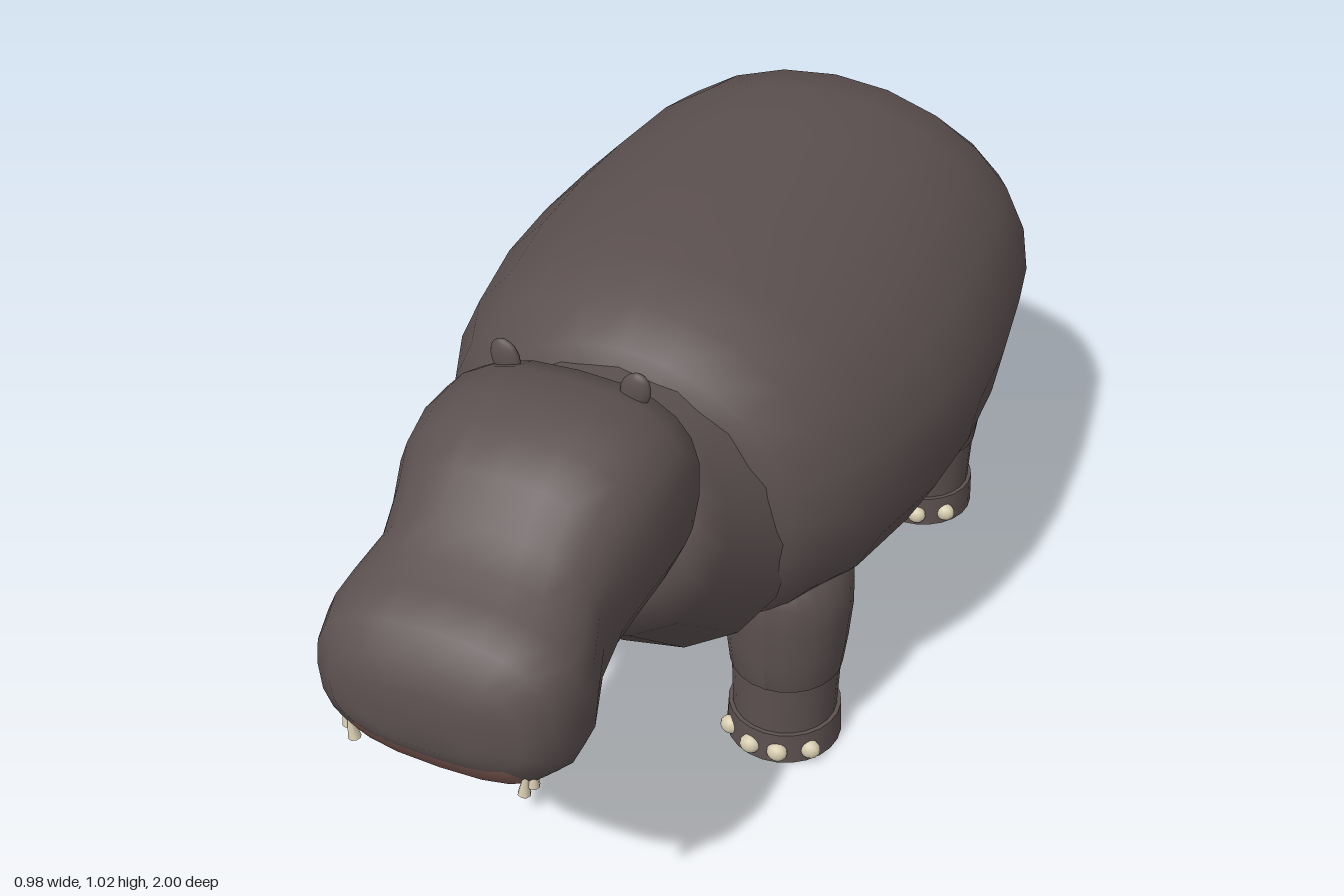
import * as THREE from 'three';

const paint = (name, color) => {
  const m = new THREE.MeshStandardMaterial({ color });
  m.name = name;
  return m;
};

// Closed loft, front to back. Each ring: [zTop, yTop, zBottom, yBottom, halfWidth].
// power < 1 makes the sections boxier; the lowest quarter uses the second material from ring bellyFrom to bellyTo.
function loft(rings, { sides = 24, power = 1, bellyFrom = Infinity, bellyTo = Infinity } = {}) {
  const pos = [], hide = [], belly = [];
  const bend = v => Math.sign(v) * Math.abs(v) ** power;
  for (const [zt, yt, zb, yb, w] of rings) {
    for (let i = 0; i < sides; i++) {
      const a = i / sides * Math.PI * 2, s = bend(Math.sin(a));
      pos.push(bend(Math.cos(a)) * w, (yt + yb) / 2 + s * (yt - yb) / 2, (zt + zb) / 2 + s * (zt - zb) / 2);
    }
  }
  for (let j = 0; j < rings.length - 1; j++) {
    for (let i = 0; i < sides; i++) {
      const n = (i + 1) % sides;
      const a = j * sides + i, b = j * sides + n, c = b + sides, d = a + sides;
      const under = Math.sin((i + 0.5) / sides * Math.PI * 2) < -0.7;
      (under && j >= bellyFrom && j < bellyTo ? belly : hide).push(a, d, b, b, d, c);
    }
  }
  // end caps
  const last = (rings.length - 1) * sides, centre = rings.length * sides;
  for (const [zt, yt, zb, yb] of [rings[0], rings[rings.length - 1]]) pos.push(0, (yt + yb) / 2, (zt + zb) / 2);
  for (let i = 0; i < sides; i++) {
    const n = (i + 1) % sides;
    hide.push(centre, i, n, centre + 1, last + n, last + i);
  }
  const g = new THREE.BufferGeometry();
  g.setAttribute('position', new THREE.Float32BufferAttribute(pos, 3));
  g.setIndex([...hide, ...belly]);
  g.addGroup(0, hide.length, 0);
  g.addGroup(hide.length, belly.length, 1);
  g.computeVertexNormals();
  return g;
}

export function createModel() {
  const model = new THREE.Group();
  const hide = paint('hide', 0x5c5050);
  const skin = paint('underside', 0x805b55);
  const ivory = paint('ivory', 0xd6cbb0);

  const add = (name, geometry, material, parent = model) => {
    const m = new THREE.Mesh(geometry, material);
    m.name = name;
    parent.add(m);
    return m;
  };

  // Barrel body: [z, top, bottom, half width]
  const bodyRings = [
    [0.32, 0.84, 0.44, 0.24], [0.285, 0.92, 0.34, 0.32], [0.22, 0.975, 0.28, 0.385],
    [0.1, 1, 0.245, 0.44], [-0.08, 1.003, 0.232, 0.48], [-0.25, 1.003, 0.23, 0.49],
    [-0.42, 1.003, 0.232, 0.482], [-0.6, 1, 0.245, 0.457], [-0.72, 0.975, 0.275, 0.435],
    [-0.81, 0.915, 0.355, 0.385], [-0.875, 0.85, 0.44, 0.29], [-0.93, 0.79, 0.51, 0.205],
    [-0.975, 0.735, 0.57, 0.16], [-0.995, 0.68, 0.61, 0.08],
  ].map(([z, t, b, w]) => [z, t, z, b, w]);
  add('body', loft(bodyRings, { bellyFrom: 0, bellyTo: 13 }), [hide, skin]);

  // Neck flares back to a sharp collar
  const collar = [0.22, 0.89, 0.3, 0.275, 0.317];
  add('neck', loft([
    [0.41, 0.88, 0.53, 0.63, 0.18], [0.4, 0.89, 0.525, 0.55, 0.23],
    [0.36, 0.893, 0.485, 0.45, 0.26], collar, collar,
  ], { sides: 16 }), hide);

  // Head with a wide muzzle
  add('head', loft([
    [1, 0.73, 1, 0.62, 0.1], [0.985, 0.775, 0.985, 0.59, 0.17], [0.95, 0.82, 0.96, 0.545, 0.21],
    [0.89, 0.845, 0.9, 0.515, 0.228], [0.84, 0.86, 0.85, 0.508, 0.225], [0.78, 0.895, 0.77, 0.54, 0.202],
    [0.72, 0.95, 0.7, 0.585, 0.207], [0.66, 0.99, 0.64, 0.615, 0.225], [0.58, 1.005, 0.58, 0.63, 0.235],
    [0.5, 1, 0.54, 0.635, 0.235], [0.44, 0.975, 0.51, 0.65, 0.23], [0.4, 0.925, 0.47, 0.71, 0.2],
    [0.39, 0.88, 0.44, 0.77, 0.12],
  ], { power: 0.75, bellyFrom: 1, bellyTo: 10 }), [hide, skin]);

  // Ears and tusks
  const ball = new THREE.SphereGeometry(1, 12, 8);
  for (const side of [1, -1]) {
    const ear = add('ear', ball, hide);
    ear.scale.set(0.027, 0.036, 0.012);
    ear.position.set(side * 0.117, 0.988, 0.473);
    ear.rotation.z = -side * 0.3;
    for (const [x, y, z, h] of [[0.156, 0.585, 0.962, 0.065], [0.168, 0.595, 0.955, 0.05]]) {
      const tusk = add('tusk', new THREE.ConeGeometry(0.011, h, 8), ivory);
      tusk.position.set(side * x, y, z);
      tusk.rotation.z = -side * 0.12;
    }
  }

  // Legs: thigh, narrower shin, round foot and four nails
  const lathe = pts => new THREE.LatheGeometry(pts.map(p => new THREE.Vector2(...p)), 24);
  const makeLeg = (name, x, z, height, lean) => {
    const leg = new THREE.Group();
    leg.name = name;
    leg.position.set(x, 0, z);
    model.add(leg);
    const thigh = lathe([
      [0.1, 0.178], [0.109, 0.18], [0.117, 0.25], [0.123, 0.33], [0.122, height - 0.08],
      [0.1, height - 0.02], [0.05, height],
    ]);
    // upper leg leans back into the hip
    const p = thigh.attributes.position;
    for (let i = 0; i < p.count; i++) p.setZ(i, p.getZ(i) - Math.max(0, p.getY(i) - 0.25) * lean);
    thigh.computeVertexNormals();
    add('thigh', thigh, hide, leg);
    add('shin', new THREE.CylinderGeometry(0.106, 0.101, 0.14, 24), hide, leg).position.y = 0.12;
    add('foot', new THREE.CylinderGeometry(0.11, 0.113, 0.068, 24), hide, leg).position.y = 0.034;
    for (const nx of [-0.083, -0.028, 0.028, 0.083]) {
      const nail = add('nail', ball, ivory, leg);
      nail.scale.set(0.021, 0.02, 0.017);
      nail.position.set(nx, 0.027, Math.sqrt(0.111 ** 2 - nx ** 2));
    }
  };
  for (const side of [1, -1]) {
    makeLeg('frontLeg', side * 0.254, 0.113, 0.47, 0);
    makeLeg('backLeg', side * 0.254, -0.695, 0.58, 0.2);
  }

  // Short hanging tail
  const tailPath = new THREE.CatmullRomCurve3([
    new THREE.Vector3(0, 0.75, -0.95), new THREE.Vector3(0, 0.7, -0.982), new THREE.Vector3(0, 0.635, -0.985),
  ]);
  add('tail', new THREE.TubeGeometry(tailPath, 8, 0.016, 8), hide);
  const tip = add('tailTip', ball, hide);
  tip.scale.set(0.017, 0.025, 0.015);
  tip.position.set(0, 0.635, -0.985);

  return model;
}
